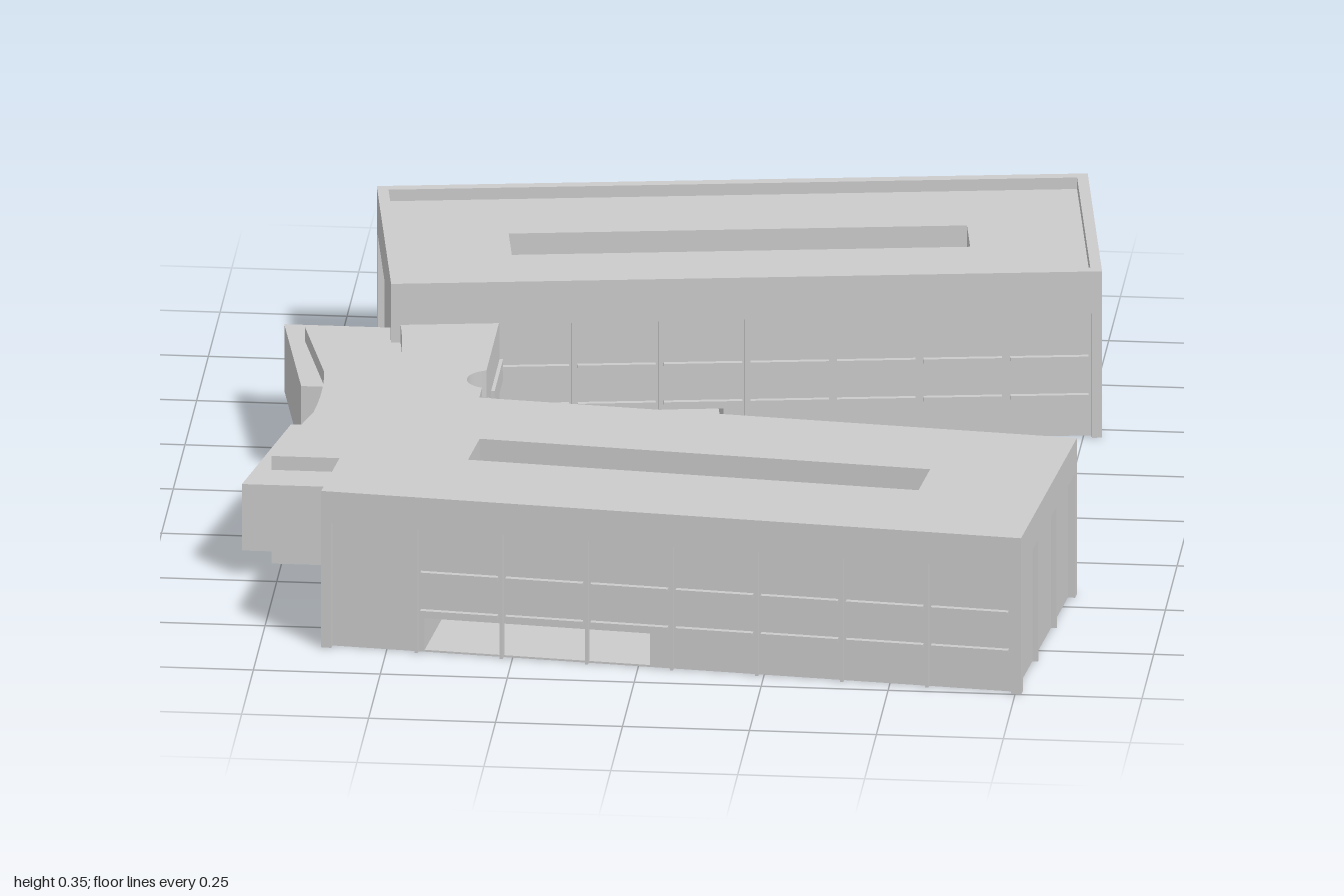
import * as THREE from 'three';

const material = new THREE.MeshStandardMaterial({ color: 0xcccccc, flatShading: true });
const smooth = new THREE.MeshStandardMaterial({ color: 0xcccccc });

function add(parent, name, geometry, mat = material) {
  const mesh = new THREE.Mesh(geometry, mat);
  mesh.name = name;
  parent.add(mesh);
  return mesh;
}

// Box given by its extents on each axis
function box(parent, name, x0, x1, y0, y1, z0, z1) {
  const g = new THREE.BoxGeometry(x1 - x0, y1 - y0, z1 - z0);
  g.translate((x0 + x1) / 2, (y0 + y1) / 2, (z0 + z1) / 2);
  return add(parent, name, g);
}

// Upright prism from a plan outline of [x, z] points, with optional holes
function prism(parent, name, plan, y0, y1, holes = []) {
  const toPoints = (list) => list.map(([x, z]) => new THREE.Vector2(x, -z));
  const shape = new THREE.Shape(toPoints(plan));
  holes.forEach((h) => shape.holes.push(new THREE.Path(toPoints(h))));
  const g = new THREE.ExtrudeGeometry(shape, { depth: y1 - y0, bevelEnabled: false });
  g.rotateX(-Math.PI / 2);
  g.translate(0, y0, 0);
  return add(parent, name, g);
}

// Counter-clockwise rectangle seen from above
const rect = (hx, hz) => [[-hx, hz], [hx, hz], [hx, -hz], [-hx, -hz]];

const BAND = 0.26;      // underside of the roof band
const PASSAGE = 0.07;   // headroom of the ground floor passage
const LEDGES = [0.085, 0.165];

// Long block: recessed walls, roof band, roof slot, posts, fins and ledges
function wing(name, length, width, height, parapet, ledgeSides) {
  const block = new THREE.Group();
  block.name = name;
  const hx = length / 2, hz = width / 2, inset = 0.014;
  const wx = hx - inset, wz = hz - inset;
  const slot = rect(0.45, 0.06);
  const roof = height - parapet;

  // Ground floor, open between the two faces
  box(block, 'floorSlab', -wx, wx, 0, 0.004, -wz, wz);
  box(block, 'groundFloorShort', -wx, -0.495, 0, PASSAGE, -wz, wz);
  box(block, 'groundFloorLong', -0.045, wx, 0, PASSAGE, -wz, wz);

  // Upper walls and roof around the sunken roof slot
  box(block, 'slotFloor', -wx, wx, PASSAGE, PASSAGE + 0.01, -wz, wz);
  prism(block, 'upperWalls', rect(wx, wz), PASSAGE + 0.01, BAND, [slot]);
  prism(block, 'roofBand', rect(hx, hz), BAND, roof, [slot]);
  if (parapet) {
    prism(block, 'parapet', rect(hx, hz), roof, height, [rect(hx - 0.022, hz - 0.022)]);
  }

  // Corner posts
  for (const sx of [-1, 1]) {
    for (const sz of [-1, 1]) {
      const x = sx * (hx - 0.01), z = sz * (hz - 0.01);
      box(block, 'cornerPost', x - 0.01, x + 0.01, 0, BAND, z - 0.01, z + 0.01);
    }
  }

  // Fins on the long faces, with thin floor ledges where glazed
  for (const s of [-1, 1]) {
    const z = s * (hz - 0.011);
    for (let i = -3; i <= 3; i++) {
      const x = i * 0.17;
      box(block, 'fin', x - 0.003, x + 0.003, 0, BAND, z - 0.008, z + 0.008);
      if (!ledgeSides.includes(s)) continue;
      for (const y of LEDGES) {
        box(block, 'ledge', x + 0.008, x + 0.162, y - 0.004, y + 0.004, z - 0.008, z + 0.008);
      }
    }
  }

  // Fins on the outer end
  for (const s of [-1, 1]) {
    const z = s * width / 6;
    box(block, 'endFin', wx - 0.004, hx - 0.003, 0, BAND, z - 0.003, z + 0.003);
  }
  return block;
}

// Points of a circular arc in plan
function arc(cx, cz, r, a0, a1, n) {
  return Array.from({ length: n + 1 }, (_, i) => {
    const a = a0 + ((a1 - a0) * i) / n;
    return [cx + r * Math.cos(a), cz + r * Math.sin(a)];
  });
}

// Gently curved line running along z, bulging towards +x in the middle
function bow(xMid, xEnd, z0, z1, n = 12) {
  return Array.from({ length: n + 1 }, (_, i) => {
    const t = i / n, u = 2 * t - 1;
    return [xMid + (xEnd - xMid) * u * u, z0 + (z1 - z0) * t];
  });
}

function connector() {
  const g = new THREE.Group();
  g.name = 'connector';
  const mid = 0.03, face = -0.385;

  // Taller hall with a bowed rear wall and a round notch over the stair tower
  const rear = bow(-0.555, -0.59, -0.34, 0.38);
  prism(g, 'hall', [...rear, [face, 0.36], [face, -0.32]], 0, 0.195);
  const notch = arc(face + 0.018, mid, 0.052, Math.PI - 1.22, Math.PI + 1.22, 14);
  prism(g, 'hallTop', [...rear, [face, 0.36], ...notch, [face, -0.32]], 0.195, 0.262);

  // Lower rear range
  prism(g, 'rearRange', [
    [-0.54, -0.325], [-0.77, -0.325], ...bow(-0.705, -0.71, -0.08, 0.145, 8),
    [-0.77, 0.4], [-0.54, 0.4],
  ], 0, 0.225);

  // Raised bays wrapped around both rear corners
  for (const s of [-1, 1]) {
    const z = (d) => 0.033 + s * d;
    const plan = [[-0.82, z(0.452)], [-0.755, z(0.108)], [-0.65, z(0.108)],
      [-0.58, z(0.3)], [-0.58, z(0.452)]];
    prism(g, 'cornerBay', plan, 0.057, 0.196);
  }

  // Round stair tower
  const tower = new THREE.CylinderGeometry(0.085, 0.085, 0.195, 32);
  tower.translate(-0.42, 0.0975, mid);
  add(g, 'stairTower', tower, smooth);

  // Shallow floor bands on the courtyard side
  for (const [z0, z1] of [[-0.31, -0.12], [0.2, 0.33]]) {
    for (const [y0, y1] of [[0.07, 0.096], [0.139, 0.182]]) {
      box(g, 'courtBand', face - 0.01, face + 0.007, y0, y1, z0, z1);
    }
  }
  return g;
}

export function createModel() {
  const model = new THREE.Group();
  model.name = 'building';

  const front = wing('frontWing', 1.398, 0.575, 0.327, 0, [-1, 1]);
  front.position.set(0.095, 0, 0.644);
  front.rotation.y = -0.1;

  const back = wing('backWing', 1.396, 0.552, 0.348, 0.024, [1]);
  back.position.set(0.057, 0, -0.629);
  back.rotation.y = 0.143;

  model.add(front, back, connector());
  return model;
}
